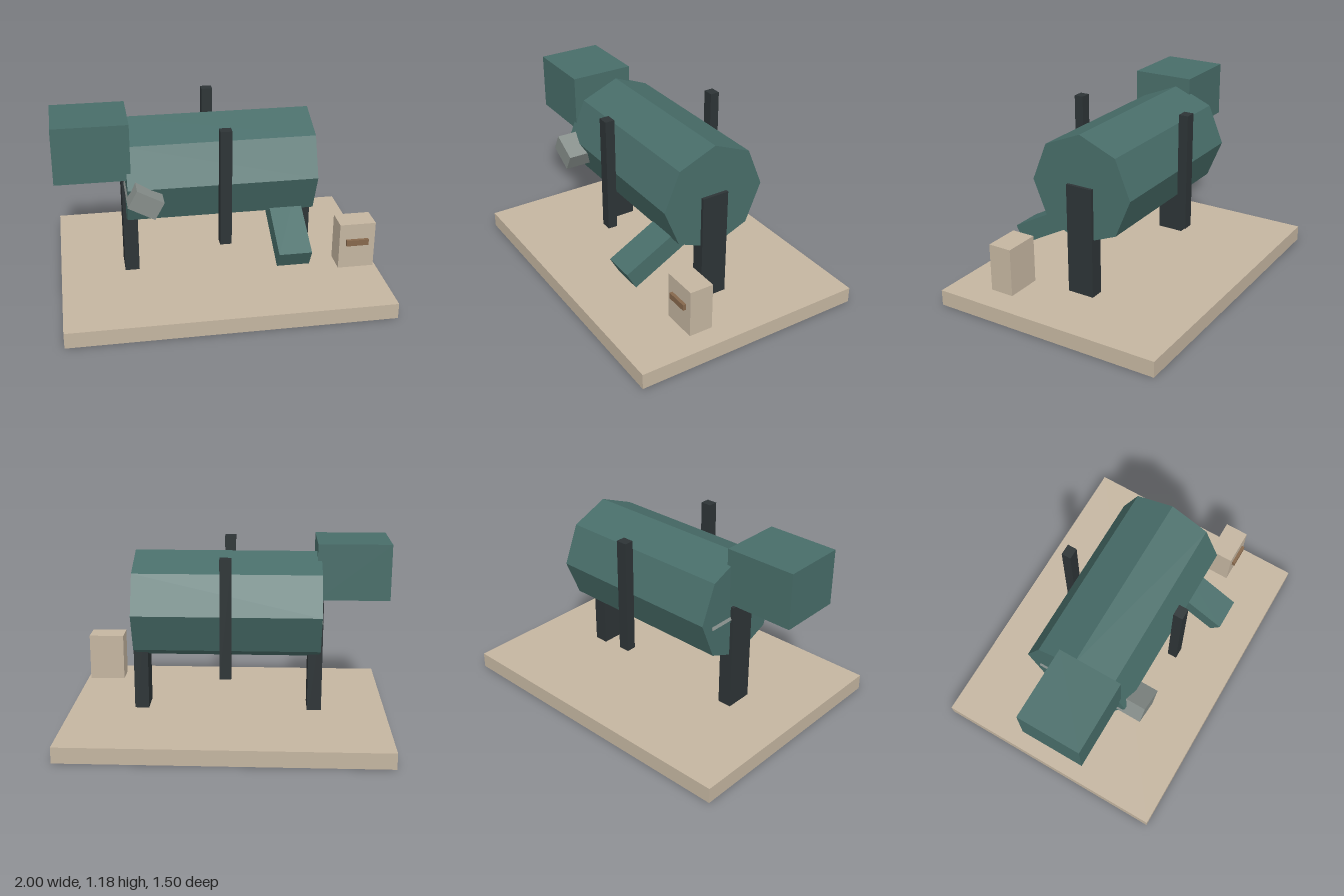
import * as THREE from 'three';

const paint = (color) => new THREE.MeshStandardMaterial({ color, flatShading: true });

export function createModel() {
  const model = new THREE.Group();
  model.name = 'drumMachine';
  const green = paint(0x486d69), tan = paint(0xc4b5a0), dark = paint(0x2d3436);
  const grey = paint(0x868e8a), brown = paint(0x86684c);

  const add = (name, geometry, material, x, y, z) => {
    const mesh = new THREE.Mesh(geometry, material);
    mesh.name = name;
    mesh.position.set(x, y, z);
    model.add(mesh);
    return mesh;
  };
  const box = (name, material, [w, h, d], [x, y, z]) =>
    add(name, new THREE.BoxGeometry(w, h, d), material, x, y, z);

  // Floor slab
  box('base', tan, [2, 0.1, 1.5], [0, 0.05, 0]);

  // Eight-sided drum lying along x, one edge at the top
  const drum = new THREE.CylinderGeometry(0.339, 0.339, 1.15, 8).rotateZ(Math.PI / 2);
  add('drum', drum, green, 0, 0.776, 0);

  // Legs at the drum ends, upright bars in front and behind
  for (const s of [-1, 1]) {
    box(s > 0 ? 'leftLeg' : 'rightLeg', dark, [0.09, 0.8, 0.175], [s * 0.55, 0.4, 0]);
    box(s > 0 ? 'frontBar' : 'backBar', dark, [0.07, 0.73, 0.06], [0, 0.776, s * 0.375]);
  }

  // Feed hopper at the upper right end
  box('hopper', green, [0.45, 0.35, 0.4], [-0.775, 1.002, 0.1]);

  // Tilted block passing through the drum
  box('motor', grey, [0.18, 0.12, 0.7], [-0.477, 0.727, 0.097]).rotation.z = -0.5;

  // Discharge chute sloping down to the front
  box('chute', green, [0.2, 0.123, 0.5], [0.4, 0.453, 0.299]).rotation.x = 0.5;

  // Control box with its handle
  box('controlBox', tan, [0.225, 0.298, 0.15], [0.826, 0.326, 0.325]);
  box('controlHandle', brown, [0.14, 0.038, 0.04], [0.825, 0.354, 0.4]);

  return model;
}
